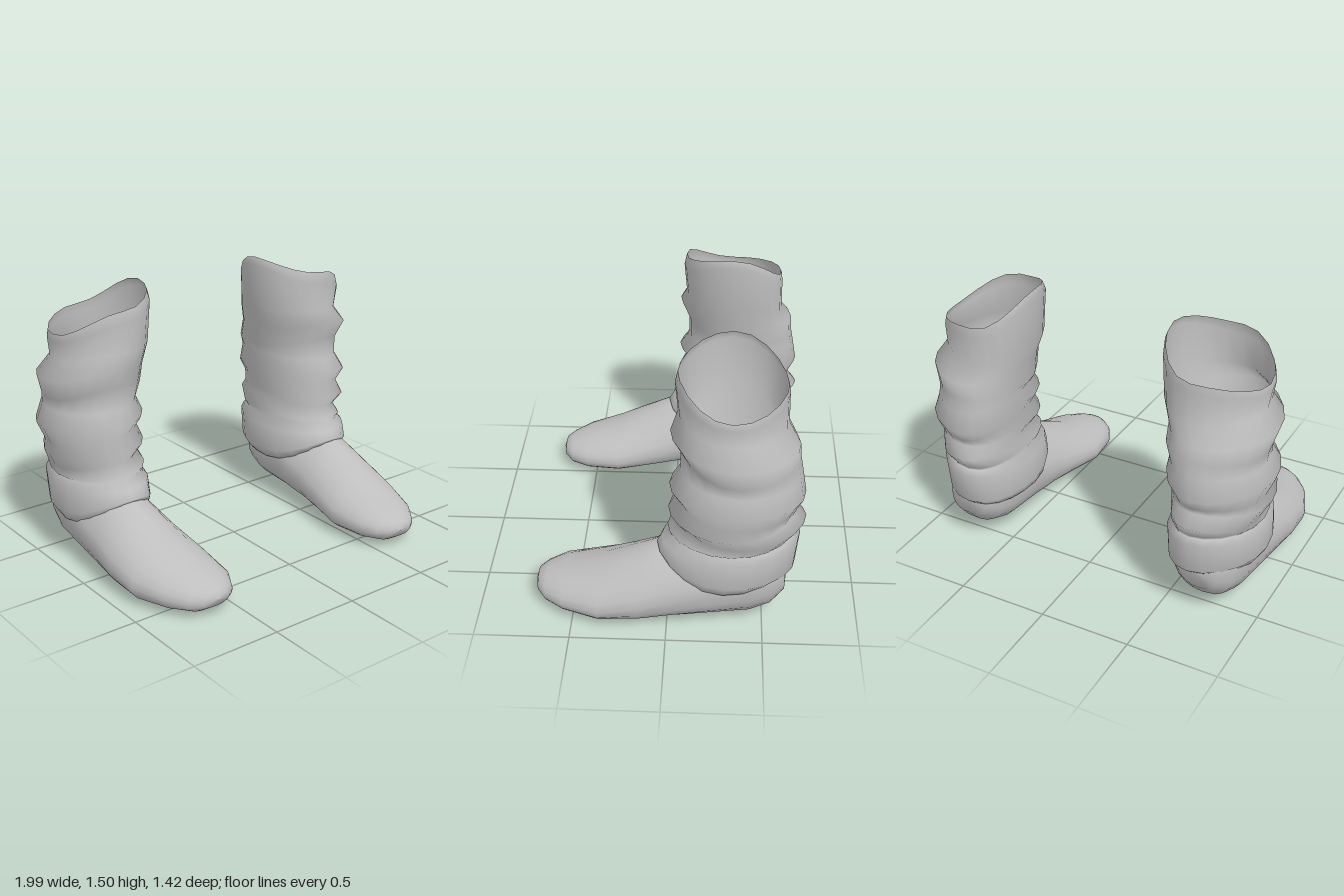
import * as THREE from 'three';

const leather = new THREE.MeshStandardMaterial({ color: 0xbfbfbf, side: THREE.DoubleSide });
leather.name = 'pale grey leather';

const SEGMENTS = 20;

// Skin a list of closed loops; side = -1 mirrors in x and flips the winding.
// isOpen(row, segment) leaves a hole in the skin.
function loft(loops, side, isOpen) {
  const n = loops[0].length;
  const positions = [];
  const index = [];
  for (const loop of loops) for (const [x, y, z] of loop) positions.push(x * side, y, z);
  const tri = (a, b, c) => (side > 0 ? index.push(a, b, c) : index.push(a, c, b));
  for (let r = 0; r < loops.length - 1; r++) {
    for (let i = 0; i < n; i++) {
      if (isOpen(r, i)) continue;
      const a = r * n + i;
      const b = r * n + ((i + 1) % n);
      tri(a, b, a + n);
      tri(b, b + n, a + n);
    }
  }
  const geometry = new THREE.BufferGeometry();
  geometry.setAttribute('position', new THREE.Float32BufferAttribute(positions, 3));
  geometry.setIndex(index);
  geometry.computeVertexNormals();
  return geometry;
}

function loop(pointAt) {
  return Array.from({ length: SEGMENTS }, (_, i) => {
    const t = (i / SEGMENTS) * Math.PI * 2;
    return pointAt(Math.cos(t), Math.sin(t));
  });
}

// Shaft rings: inner x, y / outer x, y / front z, y / back z, y
const shaftRings = [
  [0.40, 1.50, 0.925, 1.285, -0.05, 1.425, -0.59, 1.34],
  [0.385, 1.46, 0.935, 1.25, -0.035, 1.36, -0.597, 1.29],
  [0.40, 1.20, 0.92, 1.15, -0.05, 1.20, -0.60, 1.12],
  [0.445, 1.08, 0.99, 1.05, -0.015, 1.12, -0.66, 1.03],
  [0.44, 0.96, 0.955, 0.93, -0.065, 1.02, -0.665, 0.95],
  [0.475, 0.91, 0.95, 0.87, -0.065, 0.89, -0.68, 0.87],
  [0.45, 0.84, 0.995, 0.775, -0.01, 0.81, -0.70, 0.75],
  [0.49, 0.765, 0.95, 0.67, -0.05, 0.75, -0.67, 0.69],
  [0.465, 0.685, 0.975, 0.62, -0.005, 0.66, -0.65, 0.65],
];

// Ankle folds and the cuff that overhangs the foot, ending in a tucked hem
const cuffRings = [
  [0.50, 0.63, 0.925, 0.535, -0.045, 0.60, -0.71, 0.59],
  [0.47, 0.55, 0.94, 0.505, 0.00, 0.54, -0.65, 0.51],
  [0.49, 0.51, 0.925, 0.49, -0.01, 0.51, -0.65, 0.50],
  [0.455, 0.455, 0.96, 0.465, 0.03, 0.47, -0.685, 0.48],
  [0.455, 0.31, 0.957, 0.31, 0.055, 0.425, -0.667, 0.30],
  [0.475, 0.26, 0.925, 0.25, 0.05, 0.41, -0.625, 0.265],
  [0.505, 0.27, 0.90, 0.265, -0.01, 0.40, -0.595, 0.28],
];

// The back of each ring leans towards the inner side
function shaftLoop([xi, yi, xo, yo, zf, yf, zb, yb]) {
  return loop((c, s) => [
    (xi + xo) / 2 + ((xo - xi) / 2) * c - (s < 0 ? 0.04 * s * s : 0),
    c * c * (c > 0 ? yo : yi) + s * s * (s > 0 ? yf : yb),
    (zf + zb) / 2 + ((zf - zb) / 2) * s,
  ]);
}

// Foot sections from heel to toe:
// z, inner x, outer x, sole y, top y, height of the widest point (0-1), edge sharpness
const footSections = [
  [-0.625, 0.70, 0.70, 0.27, 0.27, 0.5, 1],
  [-0.61, 0.59, 0.82, 0.17, 0.37, 0.55, 1],
  [-0.54, 0.53, 0.87, 0.09, 0.41, 0.6, 1],
  [-0.43, 0.50, 0.90, 0.05, 0.42, 0.6, 1],
  [-0.20, 0.49, 0.92, 0.035, 0.43, 0.52, 1],
  [-0.10, 0.487, 0.925, 0.028, 0.435, 0.45, 1.1],
  [0.00, 0.485, 0.93, 0.022, 0.435, 0.4, 1.2],
  [0.15, 0.465, 0.94, 0.012, 0.37, 0.38, 1.2],
  [0.36, 0.43, 0.93, 0.002, 0.265, 0.4, 1.1],
  [0.55, 0.45, 0.86, 0.015, 0.205, 0.45, 1],
  [0.65, 0.505, 0.785, 0.03, 0.17, 0.45, 1],
  [0.695, 0.56, 0.725, 0.06, 0.145, 0.45, 1],
  [0.708, 0.635, 0.635, 0.10, 0.10, 0.45, 1],
];

// Sole squarer on the outer side, with a peaked instep
function footLoop([z, xi, xo, yb, yt, waist, sharpness]) {
  const widest = yb + (yt - yb) * waist;
  const soleEdge = (c) => (c > 0 ? 0.7 : 1);
  return loop((c, s) => [
    (xi + xo) / 2 + ((xo - xi) / 2) * Math.sign(c) * Math.abs(c) ** (s < 0 ? soleEdge(c) : sharpness),
    s > 0 ? widest + (yt - widest) * s ** sharpness : widest - (widest - yb) * Math.abs(s) ** 0.85,
    z,
  ]);
}

// The top of the foot is open below the shaft
const ankleHole = (row, segment) => row >= 2 && row <= 4 && segment >= 2 && segment <= 7;
const closed = () => false;

function createBoot(side) {
  const boot = new THREE.Group();
  boot.name = side > 0 ? 'leftBoot' : 'rightBoot';
  const add = (name, loops, isOpen) => {
    const mesh = new THREE.Mesh(loft(loops, side, isOpen), leather);
    mesh.name = name;
    boot.add(mesh);
  };
  add('slouchedShaft', [...shaftRings, ...cuffRings].map(shaftLoop), closed);
  add('foot', footSections.map(footLoop), ankleHole);
  return boot;
}

export function createModel() {
  const model = new THREE.Group();
  model.name = 'pairOfBoots';
  for (const side of [1, -1]) model.add(createBoot(side));
  return model;
}
